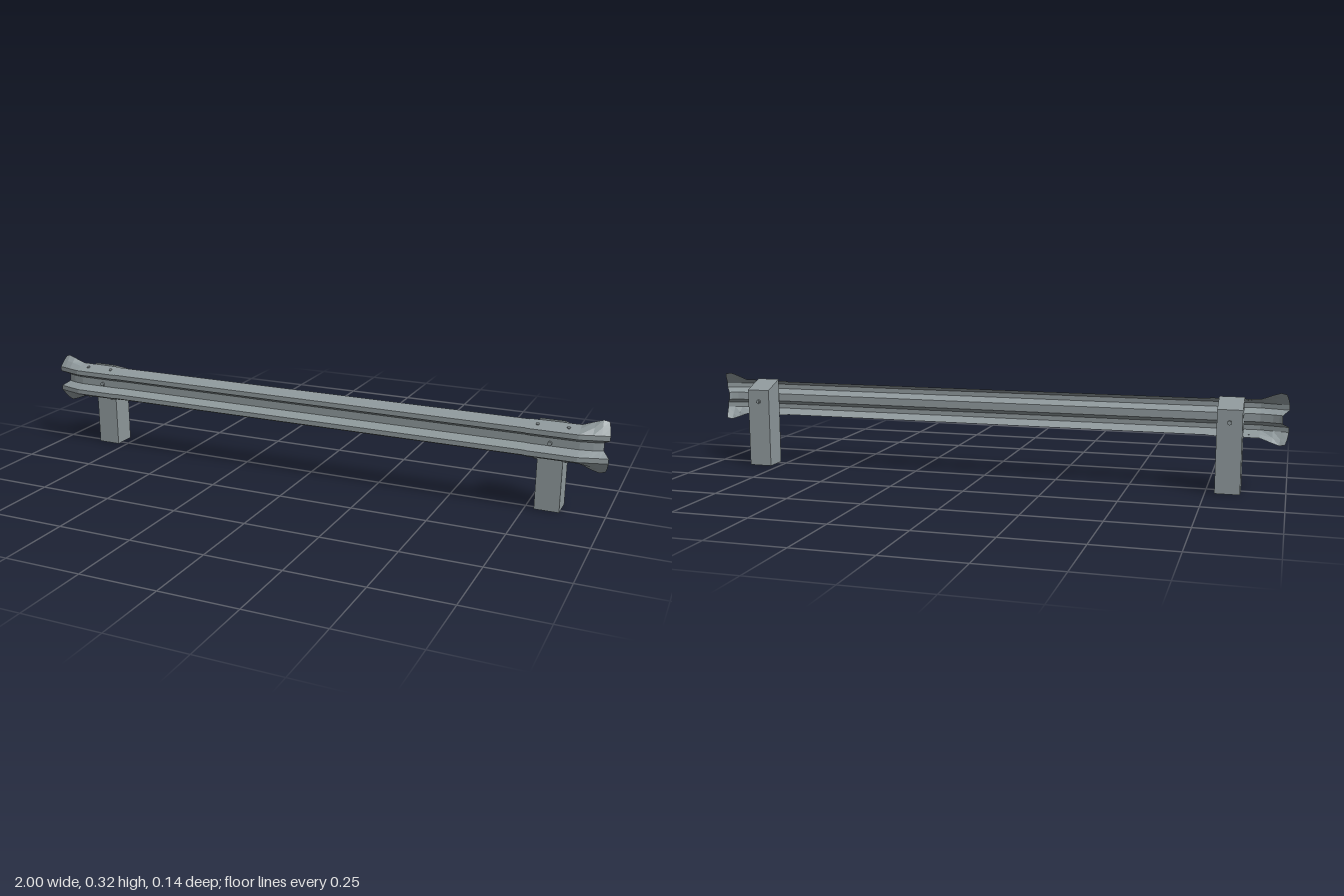
import * as THREE from 'three';

const MID = 0.235; // height of the rail's centre line

// Skins a list of sections (each a row of [x, y, z]) into a faceted sheet
function loft(sections) {
  const n = sections[0].length;
  const index = [];
  for (let i = 0; i < sections.length - 1; i++) {
    for (let j = 0; j < n - 1; j++) {
      const a = i * n + j, b = a + n;
      index.push(a, a + 1, b, a + 1, b + 1, b);
    }
  }
  const g = new THREE.BufferGeometry();
  g.setAttribute('position', new THREE.Float32BufferAttribute(sections.flat(2), 3));
  g.setIndex(index);
  const flat = g.toNonIndexed();
  flat.computeVertexNormals();
  return flat;
}

// W-shaped section: upper half as [height from centre, z, x trim], mirrored below
function section(x, edgeY, edgeZ, peakZ, valleyZ, trim = 0) {
  const s = Math.sign(x);
  const half = [
    [edgeY, edgeZ, trim * 0.5],
    [(edgeY + 0.044) / 2 + 0.002, (edgeZ + peakZ) / 2 - 0.001, trim * 0.2],
    [0.044, peakZ, 0],
    [0.028, peakZ, 0],
    [0.013, valleyZ, trim],
  ];
  const lower = half.map(([y, z, t]) => [-y, z, t]).reverse();
  return [...half, ...lower].map(([y, z, t]) => [x - s * t, MID + y, z]);
}

export function createModel() {
  const model = new THREE.Group();
  model.name = 'guardrail';
  const steel = new THREE.MeshStandardMaterial({ color: 0x8f999c, flatShading: true, side: THREE.DoubleSide });
  steel.name = 'galvanised steel';

  const add = (parent, name, geometry) => {
    const mesh = new THREE.Mesh(geometry, steel);
    mesh.name = name;
    parent.add(mesh);
    return mesh;
  };

  // Long corrugated beam
  add(model, 'beam', loft([-0.86, 0.86].map((x) => section(x, 0.06, 0.02, 0.066, 0.035))));

  for (const s of [-1, 1]) {
    const side = new THREE.Group();
    side.name = s > 0 ? 'leftEnd' : 'rightEnd';
    model.add(side);

    // Overlapping end piece, bent back and spread at the tip
    const rows = [
      section(s * 0.75, 0.062, 0.021, 0.069, 0.038),
      section(s * 0.91, 0.063, 0.021, 0.069, 0.038),
      section(s * 0.95, 0.078, 0.022, 0.058, 0.030),
      section(s * 0.975, 0.085, 0.020, 0.051, 0.023, 0.005),
      section(s * 1.0, 0.081, 0.016, 0.044, 0.018, 0.02),
    ];
    if (s < 0) rows.reverse();
    add(side, 'endPiece', loft(rows));

    // Hollow post with a sloping top and an open bottom
    const post = new THREE.BoxGeometry(0.08, 0.303, 0.08);
    post.translate(s * 0.82, 0.1515, -0.02);
    const p = post.attributes.position;
    for (let i = 0; i < p.count; i++) {
      if (p.getY(i) > 0.2 && p.getZ(i) < -0.02) p.setY(i, 0.272);
    }
    const faces = Array.from(post.index.array);
    faces.splice(18, 6); // remove the bottom face
    post.setIndex(faces);
    post.clearGroups();
    post.computeVertexNormals();
    add(side, 'post', post);

    // Bolt through the valley, with a nut and stud behind the post
    const bolt = (name, radius, length, z, sides) => {
      const g = new THREE.CylinderGeometry(radius, radius, length, sides);
      g.rotateX(Math.PI / 2);
      add(side, name, g).position.set(s * 0.82, MID - 0.004, z);
    };
    bolt('boltHead', 0.007, 0.007, 0.042, 10);
    bolt('boltShank', 0.004, 0.02, 0.028, 8);
    bolt('boltNut', 0.008, 0.005, -0.0625, 6);
    bolt('boltStud', 0.005, 0.008, -0.064, 8);

    // Small splice bolts on the outer slopes
    for (const x of [0.78, 0.875]) {
      for (const v of [1, -1]) {
        const head = add(side, 'spliceBolt', new THREE.CylinderGeometry(0.005, 0.006, 0.004, 8));
        head.position.set(s * x, MID + v * 0.056, 0.045);
        head.rotation.x = v > 0 ? 0.4 : Math.PI - 0.4;
      }
    }
  }
  return model;
}
